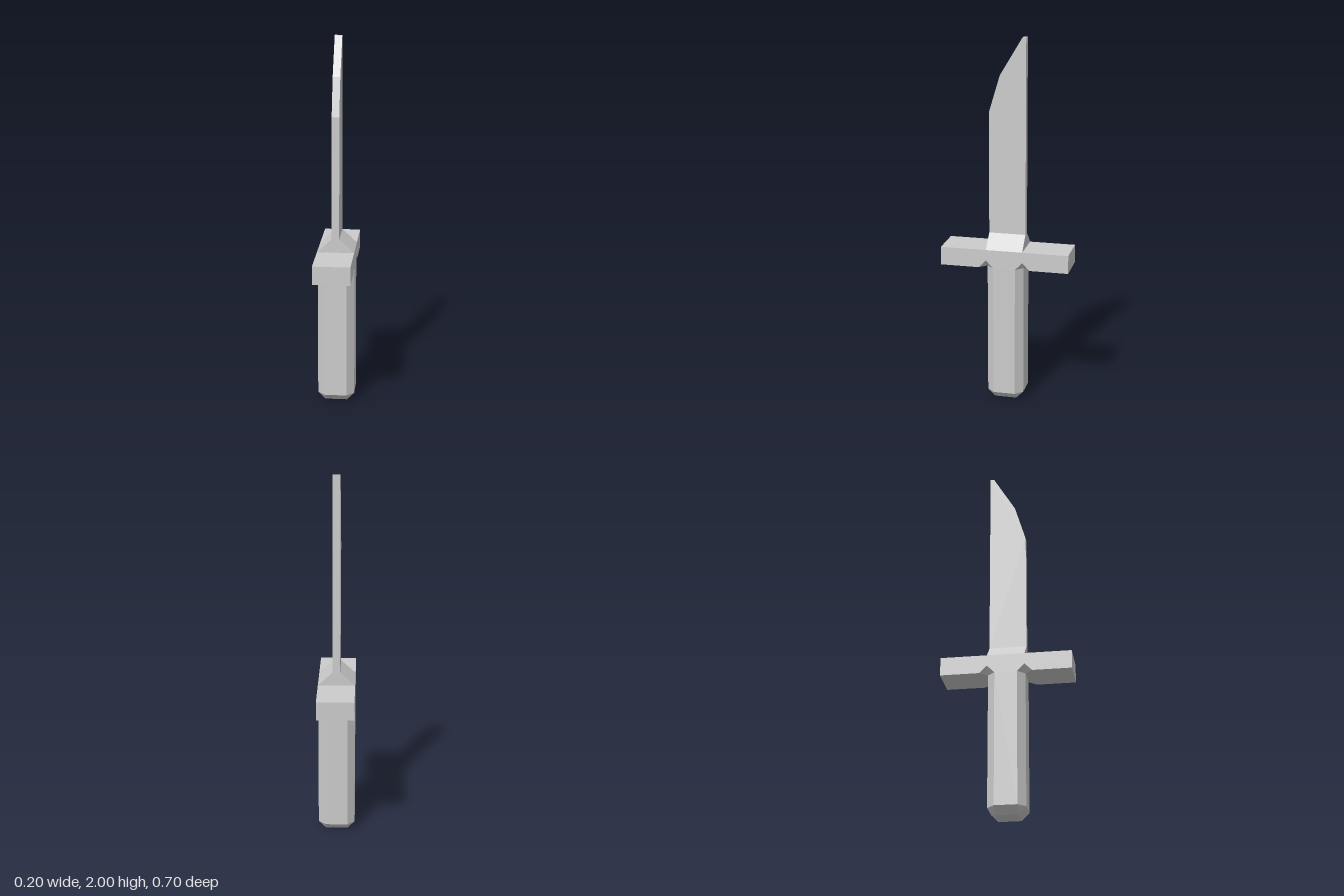
import * as THREE from 'three';
import { ConvexGeometry } from 'three/addons/geometries/ConvexGeometry.js';

const steel = new THREE.MeshStandardMaterial({ color: 0xcccccc });
steel.name = 'greySteel';

const HALF = 0.1;    // half width of handle and blade
const INNER = 0.06;  // half width inside the corner chamfers

// Four points mirrored across x and z
function ring(x, y, z) {
  return [[x, y, z], [-x, y, z], [-x, y, -z], [x, y, -z]];
}

// Chamfered square section
function octagon(y) {
  return [...ring(HALF, y, INNER), ...ring(INNER, y, HALF)];
}

// Faceted convex solid from its corner points
function solid(name, points) {
  const geometry = new ConvexGeometry(points.map((p) => new THREE.Vector3(...p)));
  const mesh = new THREE.Mesh(geometry, steel);
  mesh.name = name;
  return mesh;
}

export function createModel() {
  const model = new THREE.Group();
  model.name = 'knife';

  // Handle with bevelled pommel
  model.add(solid('handle', [...ring(INNER, 0, INNER), ...octagon(0.04), ...octagon(0.765)]));

  // Guard: centre block whose corners flare out of the handle chamfers
  const guard = new THREE.Group();
  guard.name = 'guard';
  guard.add(solid('guardCentre', [
    ...octagon(0.765), ...ring(HALF, 0.805, HALF), ...ring(HALF, 0.865, HALF),
  ]));

  // Guard arms with notched lower inner corners
  for (const side of [1, -1]) {
    const points = [];
    for (const x of [1, -1]) {
      points.push(
        [x * HALF, 0.865, side * HALF],
        [x * HALF, 0.805, side * HALF],
        [x * INNER, 0.765, side * HALF],
        [x * HALF, 0.765, side * 0.14],
        [x * HALF, 0.765, side * 0.35],
        [x * HALF, 0.865, side * 0.35],
      );
    }
    guard.add(solid(side > 0 ? 'frontGuardArm' : 'backGuardArm', points));
  }
  model.add(guard);

  // Sloped collar at the blade root
  model.add(solid('collar', [...ring(HALF, 0.865, HALF), ...ring(0.02, 0.94, HALF)]));

  // Blade: [z, y] profile given thickness along x
  const profile = [[0.1, 0.94], [0.1, 1.6], [0.04, 1.8], [-0.08, 2], [-0.1, 2], [-0.1, 0.94]];
  model.add(solid('blade', profile.flatMap(([z, y]) => [[0.02, y, z], [-0.02, y, z]])));

  return model;
}
